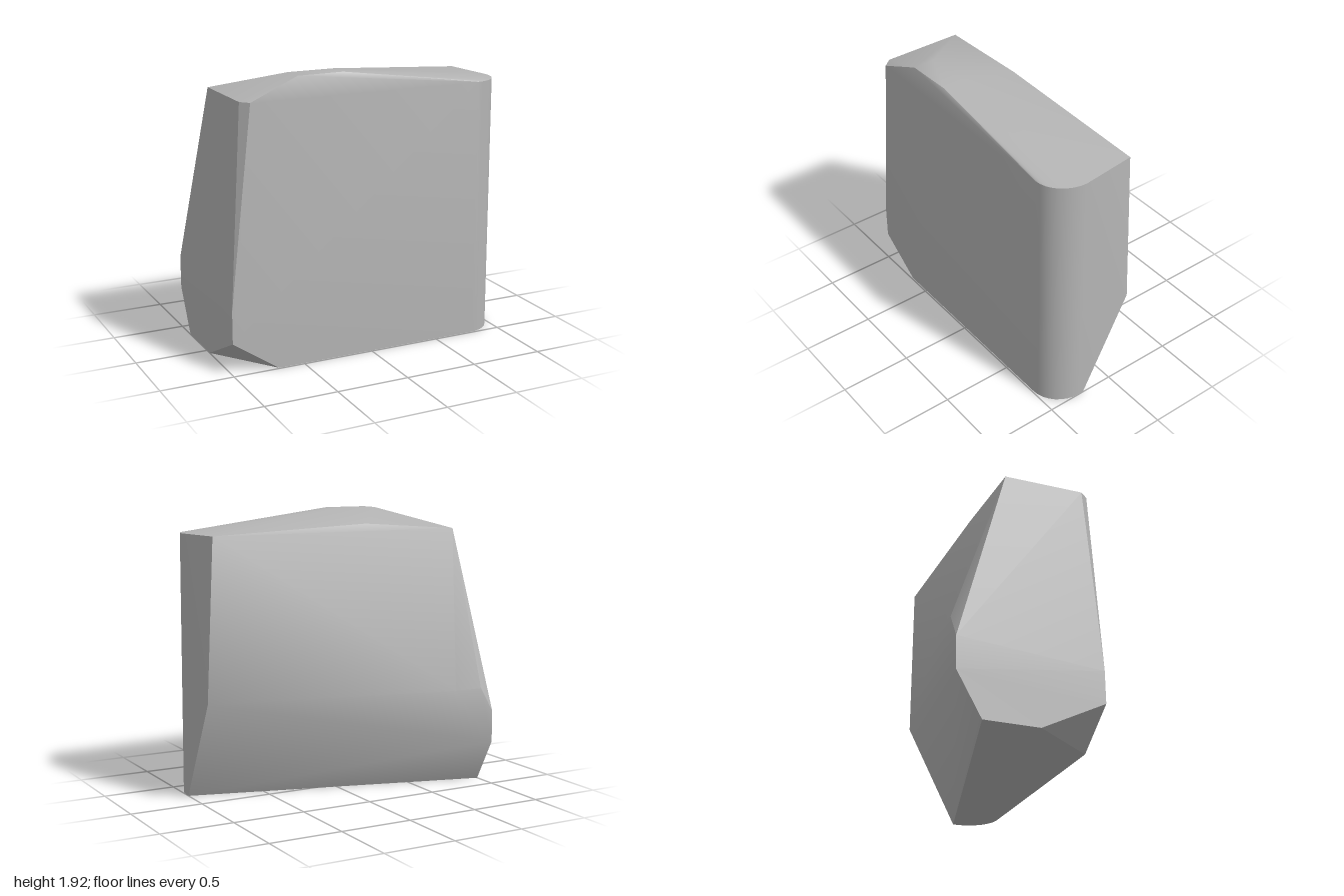
import * as THREE from 'three';
import { ConvexGeometry } from 'three/addons/geometries/ConvexGeometry.js';
import { toCreasedNormals } from 'three/addons/utils/BufferGeometryUtils.js';

const FRONT = 0.49, BACK = -0.495;

export function createModel() {
  const group = new THREE.Group();
  group.name = 'stoneBlock';
  const stone = new THREE.MeshStandardMaterial({ color: 0xb4b4b4 });
  stone.name = 'stone grey';

  const corners = [
    // chipped front corner and leaning narrow side
    [-1, 0.22, FRONT], [-1, 0.44, FRONT], [-0.68, 0, FRONT],
    [-1, 0, 0.05], [-1, 0, -0.33],
    [-1, 0.3, BACK], [-1, 0.52, BACK],
    [-0.9, 1.78, 0.43], [-0.85, 1.78, FRONT], [-0.9, 1.78, -0.12],
    // bulge at the back
    [-0.9, 0.69, BACK], [-0.69, 0.69, BACK],
    // raised top
    [-0.52, 1.92, 0.47], [-0.2, 1.92, 0.46],
    [-0.52, 1.92, 0.32], [-0.2, 1.92, 0.32], [-0.2, 1.83, -0.1],
    // far side
    [0.95, 1.78, -0.12], [1, 0.69, -0.12], [1, 0, 0.23],
  ];

  // rounded vertical edge
  const steps = 8;
  for (let i = 0; i <= steps; i++) {
    const a = (i / steps) * Math.PI / 2;
    const x = 0.79 + 0.21 * Math.sin(a), z = 0.26 + (FRONT - 0.26) * Math.cos(a);
    corners.push([x, 0, z], [x - 0.005 * Math.sin(a), 1.78, z]);
  }

  const hull = new ConvexGeometry(corners.map((p) => new THREE.Vector3(...p)));
  const block = new THREE.Mesh(toCreasedNormals(hull, THREE.MathUtils.degToRad(32)), stone);
  block.name = 'block';
  group.add(block);
  return group;
}
